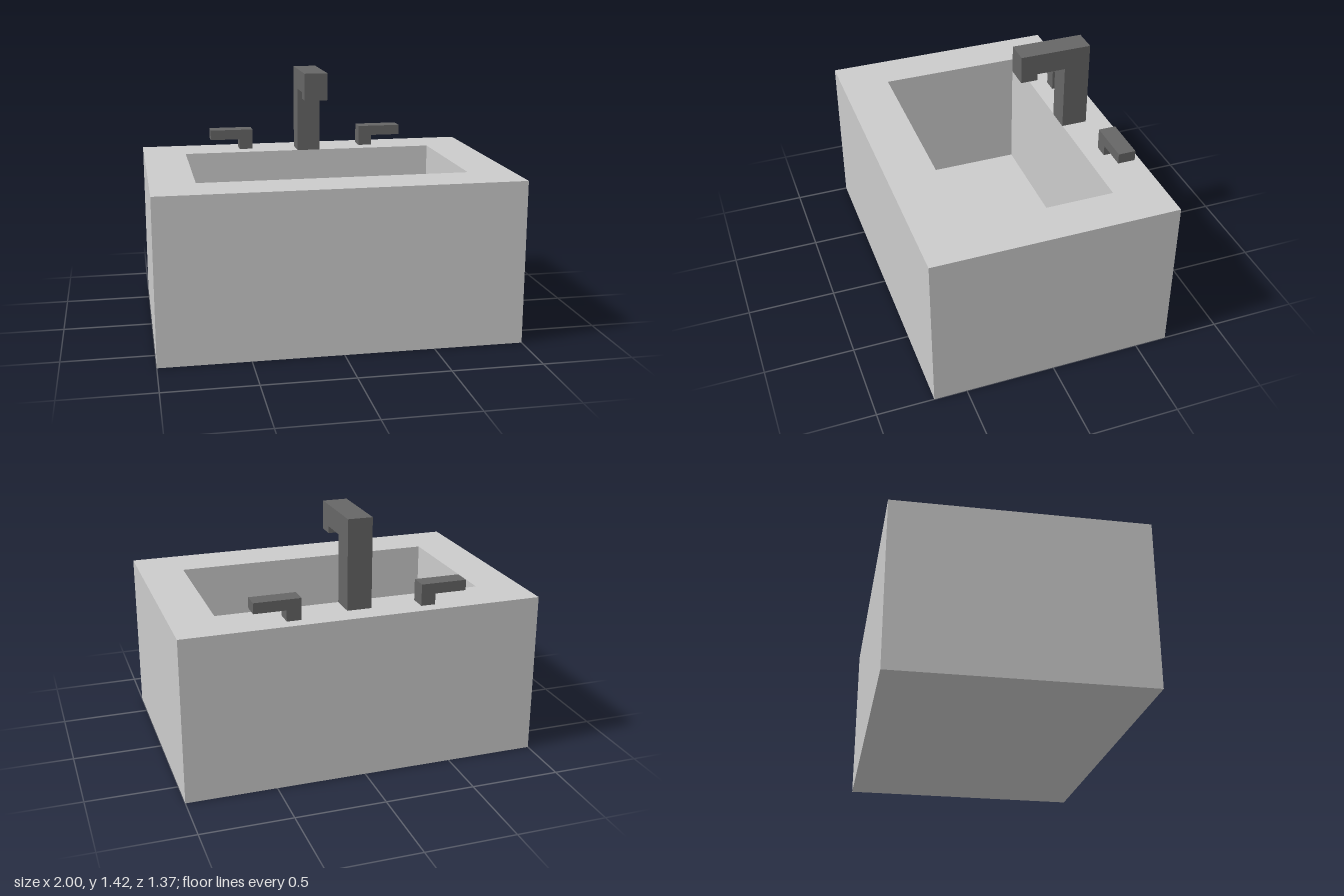
import * as THREE from 'three';

const stone = new THREE.MeshStandardMaterial({ color: 0xcccccc, flatShading: true });
const metal = new THREE.MeshStandardMaterial({ color: 0x666666, flatShading: true });

const TOP = 0.917;    // rim height
const FLOOR = 0.18;   // height of the bowl floor
const DEPTH = 0.683;  // half depth of the basin

function polygon(points, Type = THREE.Shape) {
  return new Type(points.map(([x, y]) => new THREE.Vector2(x, y)));
}

function rectangle(x0, x1, y0, y1, Type) {
  return polygon([[x0, y0], [x1, y0], [x1, y1], [x0, y1]], Type);
}

function extrude(shape, depth) {
  return new THREE.ExtrudeGeometry(shape, { depth, bevelEnabled: false });
}

function addMesh(parent, name, geometry, material) {
  const mesh = new THREE.Mesh(geometry, material);
  mesh.name = name;
  parent.add(mesh);
  return mesh;
}

export function createModel() {
  const sink = new THREE.Group();
  sink.name = 'sink';

  // Basin: a solid base with a rectangular ring of walls on top
  const basin = new THREE.Group();
  basin.name = 'basin';
  sink.add(basin);
  const base = new THREE.BoxGeometry(2, FLOOR, DEPTH * 2).translate(0, FLOOR / 2, 0);
  addMesh(basin, 'basinFloor', base, stone);

  const ring = rectangle(-1, 1, -DEPTH, DEPTH);
  ring.holes.push(rectangle(-0.753, 0.75, -0.407, 0.412, THREE.Path));
  const walls = extrude(ring, TOP - FLOOR).rotateX(-Math.PI / 2).translate(0, FLOOR, 0);
  addMesh(basin, 'basinWalls', walls, stone);

  // Tap: side profile (z, y) with column, arm and downturned spout
  const tapProfile = polygon([
    [-0.557, TOP], [-0.41, TOP], [-0.41, 1.296], [-0.247, 1.296],
    [-0.247, 1.258], [-0.15, 1.258], [-0.15, 1.416], [-0.557, 1.416],
  ]);
  const tap = extrude(tapProfile, 0.136).rotateY(-Math.PI / 2).translate(0.066, 0, 0);
  addMesh(sink, 'tap', tap, metal);

  // Handles: front profile (x, y), mirrored to each side
  for (const [side, name] of [[1, 'leftHandle'], [-1, 'rightHandle']]) {
    const profile = polygon([
      [0.335, TOP], [0.415, TOP], [0.415, 0.978],
      [0.592, 0.978], [0.592, 1.037], [0.335, 1.037],
    ].map(([x, y]) => [side * x, y]));
    addMesh(sink, name, extrude(profile, 0.098).translate(0, 0, -0.61), metal);
  }

  return sink;
}
